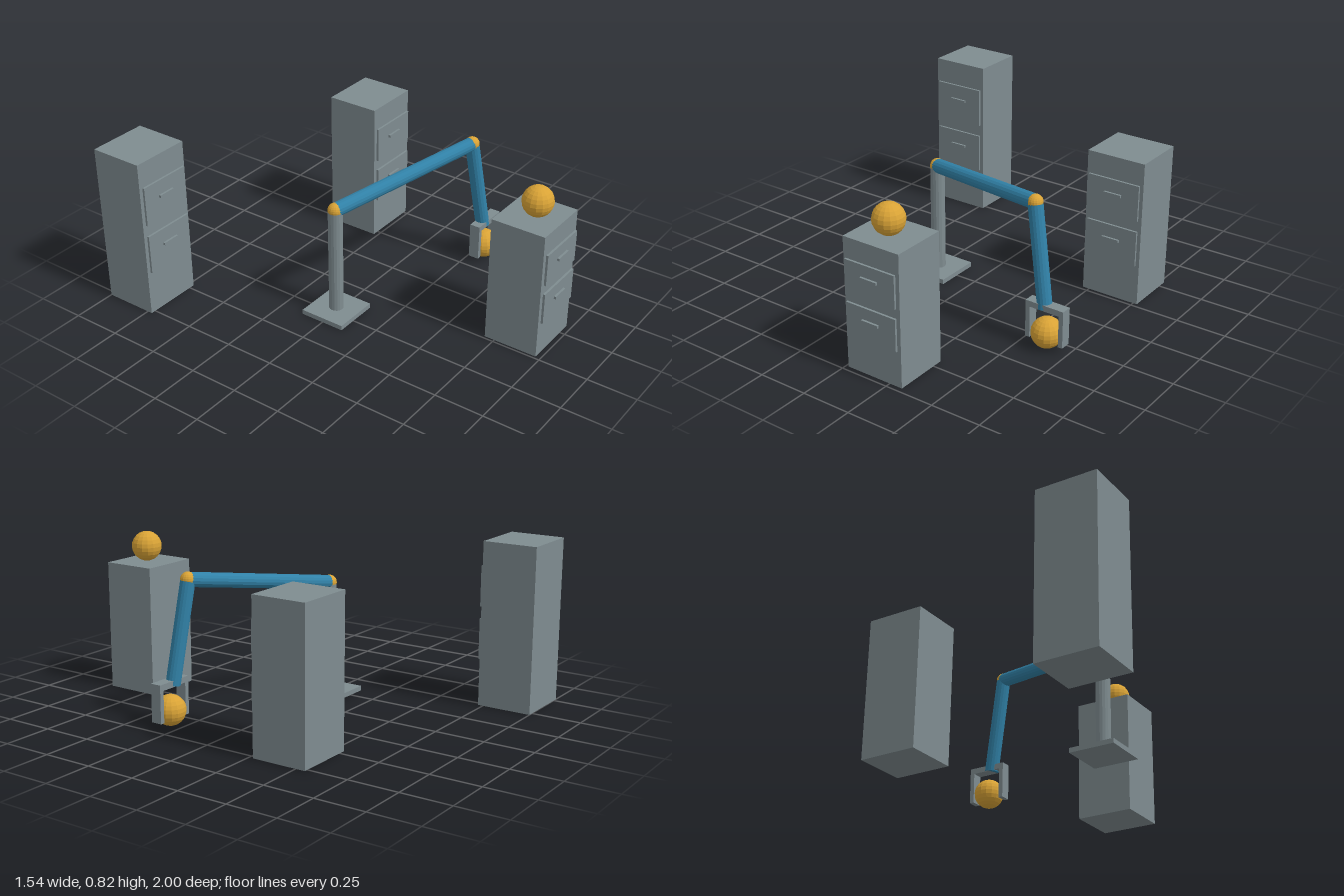
import * as THREE from 'three';

export function createModel() {
  const model = new THREE.Group();
  model.name = 'robotArmCell';

  const material = (name, color) => {
    const m = new THREE.MeshStandardMaterial({ color, flatShading: true });
    m.name = name;
    return m;
  };
  const grey = material('steelGrey', 0x7f8c90);
  const blue = material('armBlue', 0x3182a8);
  const amber = material('amber', 0xd9a336);

  const add = (parent, name, geometry, mat, x, y, z) => {
    const mesh = new THREE.Mesh(geometry, mat);
    mesh.name = name;
    mesh.position.set(x, y, z);
    parent.add(mesh);
    return mesh;
  };
  const box = (parent, name, w, h, d, x, y, z) =>
    add(parent, name, new THREE.BoxGeometry(w, h, d), grey, x, y, z);
  const sphere = (parent, name, r, x, y, z) =>
    add(parent, name, new THREE.SphereGeometry(r, 16, 12), amber, x, y, z);

  // Round bar running between two points
  const bar = (parent, name, a, b, r, mat) => {
    const dir = b.clone().sub(a);
    const mid = a.clone().add(b).multiplyScalar(0.5);
    const mesh = add(parent, name, new THREE.CylinderGeometry(r, r, dir.length(), 16), mat, mid.x, mid.y, mid.z);
    mesh.quaternion.setFromUnitVectors(new THREE.Vector3(0, 1, 0), dir.normalize());
  };

  // Cabinets: two drawers each, placed by the front of their handles
  const cabinet = (name, x, frontZ, h) => {
    const group = new THREE.Group();
    group.name = name;
    group.position.set(x, 0, frontZ);
    box(group, 'cabinetBody', 0.304, h, 0.276, 0, h / 2, -0.164);
    for (const [drawerY, handleY] of [[0.725, 0.75], [0.404, 0.43]]) {
      box(group, 'drawerFront', 0.272, h * 0.247, 0.011, 0, h * drawerY, -0.0165);
      box(group, 'drawerHandle', 0.09, 0.013, 0.012, 0, h * handleY, -0.006);
    }
    model.add(group);
  };
  cabinet('backCabinet', -0.623, -0.698, 0.82);
  cabinet('middleCabinet', 0.618, -0.246, 0.735);
  cabinet('frontCabinet', 0.166, 1.0, 0.65);
  sphere(model, 'cabinetBall', 0.0755, 0.166, 0.725, 0.847);

  // Arm: base, post, two links and their joints
  const arm = new THREE.Group();
  arm.name = 'arm';
  model.add(arm);
  const foot = new THREE.Vector3(-0.229, 0.02, -0.003);
  const shoulder = new THREE.Vector3(-0.229, 0.572, -0.003);
  const elbow = new THREE.Vector3(0.53, 0.687, 0.275);
  const wrist = new THREE.Vector3(0.615, 0.196, 0.308);
  box(arm, 'basePlate', 0.236, 0.024, 0.236, foot.x, 0.012, foot.z);
  bar(arm, 'post', foot, shoulder, 0.036, grey);
  bar(arm, 'upperArm', shoulder, elbow, 0.036, blue);
  bar(arm, 'forearm', elbow, wrist, 0.036, blue);
  sphere(arm, 'shoulderJoint', 0.037, shoulder.x, shoulder.y, shoulder.z);
  sphere(arm, 'elbowJoint', 0.037, elbow.x, elbow.y, elbow.z);

  // Gripper holding a ball
  const gripper = new THREE.Group();
  gripper.name = 'gripper';
  gripper.position.set(0.632, 0, 0.313);
  model.add(gripper);
  box(gripper, 'gripperBar', 0.201, 0.029, 0.055, 0, 0.2095, 0);
  for (const side of [-1, 1]) {
    box(gripper, 'gripperFinger', 0.023, 0.158, 0.055, side * 0.089, 0.116, 0);
  }
  sphere(gripper, 'heldBall', 0.0755, 0, 0.0765, 0);

  return model;
}
